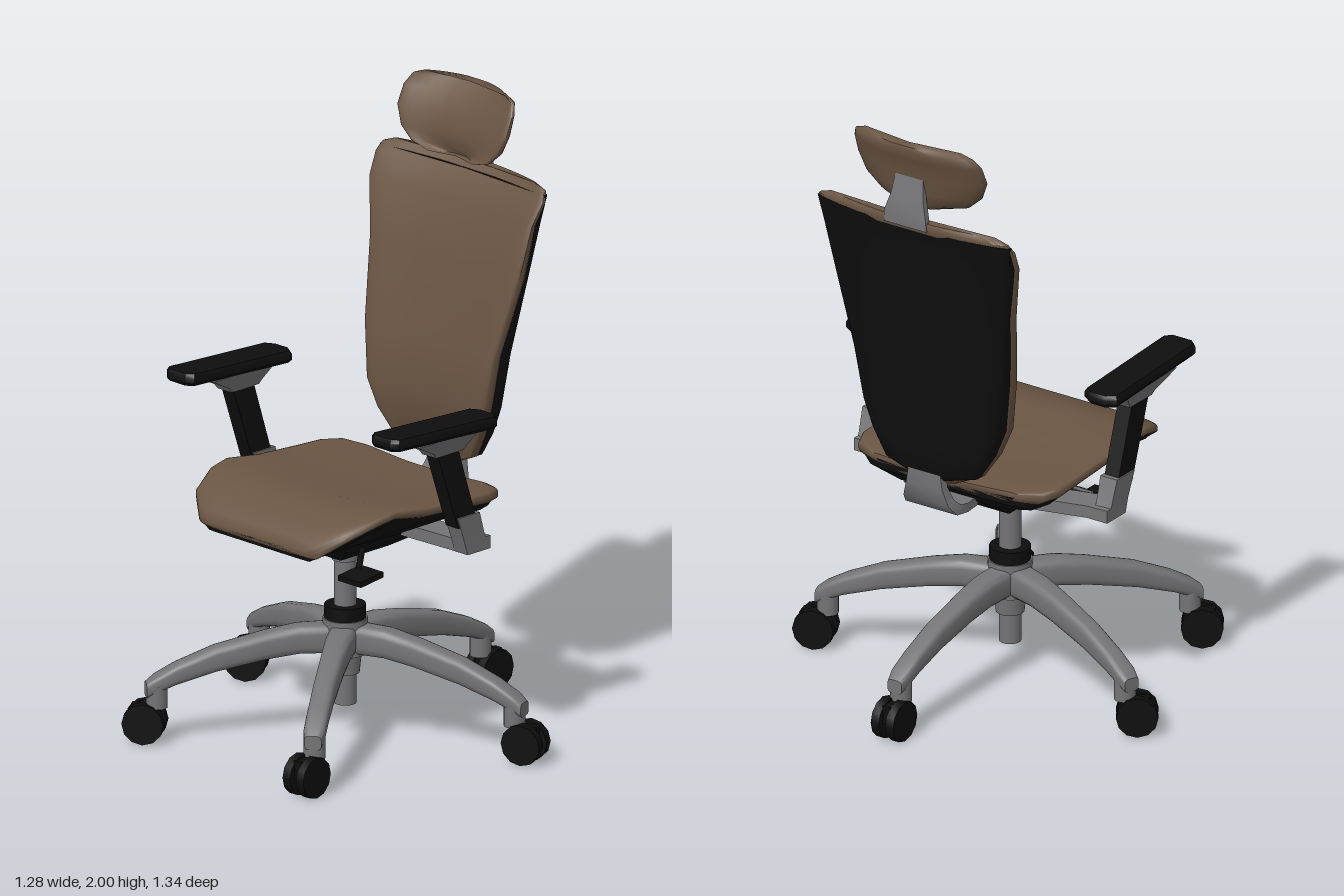
import * as THREE from 'three';
import { toCreasedNormals } from 'three/addons/utils/BufferGeometryUtils.js';

const mat = (name, color) => Object.assign(new THREE.MeshStandardMaterial({ color }), { name });

export function createModel() {
  const brown = mat('brownUpholstery', 0x6a5543);
  const black = mat('blackPlastic', 0x0e0e0e);
  const gray = mat('grayMetal', 0x747476);
  const root = new THREE.Group();
  root.name = 'officeChair';

  const add = (name, geo, material, parent = root, pos = [0, 0, 0]) => {
    const m = new THREE.Mesh(geo, material);
    m.name = name;
    m.position.set(...pos);
    parent.add(m);
    return m;
  };

  // Skin over a row of equal-length rings of [x, y, z], closed at both ends
  function loft(rings, crease = 0.8) {
    const n = rings[0].length, pos = rings.flat(2), idx = [];
    for (let r = 0; r < rings.length - 1; r++)
      for (let i = 0; i < n; i++) {
        const a = r * n + i, b = r * n + (i + 1) % n;
        idx.push(a, b, a + n, b, b + n, a + n);
      }
    for (const [ring, start, flip] of [[rings[0], 0, true], [rings.at(-1), (rings.length - 1) * n, false]]) {
      const c = pos.length / 3;
      for (let k = 0; k < 3; k++) pos.push(ring.reduce((s, p) => s + p[k], 0) / n);
      for (let i = 0; i < n; i++) {
        const a = start + i, b = start + (i + 1) % n;
        idx.push(...(flip ? [c, b, a] : [c, a, b]));
      }
    }
    // Turn the faces outward if the enclosed volume is negative
    const v = (i) => new THREE.Vector3().fromArray(pos, i * 3);
    let vol = 0;
    for (let i = 0; i < idx.length; i += 3) vol += v(idx[i]).dot(v(idx[i + 1]).cross(v(idx[i + 2])));
    if (vol < 0) idx.reverse();
    const g = new THREE.BufferGeometry();
    g.setAttribute('position', new THREE.Float32BufferAttribute(pos, 3));
    g.setIndex(idx);
    return toCreasedNormals(g, crease);
  }

  // Rounded-rectangle loop of [u, v] within -1..1
  const oval = (n, p) => Array.from({ length: n }, (_, i) => {
    const t = ((i + 0.5) / n) * Math.PI * 2;
    const f = (c) => Math.sign(c) * Math.abs(c) ** p;
    return [f(Math.cos(t)), f(Math.sin(t))];
  });
  const square = [[1, 1], [-1, 1], [-1, -1], [1, -1]];
  const cyl = (r, y0, y1, r2 = r, n = 24) => new THREE.CylinderGeometry(r2, r, y1 - y0, n).translate(0, (y0 + y1) / 2, 0);

  // Star base and gas lift
  const base = new THREE.Group();
  base.name = 'base';
  base.position.x = -0.06;
  root.add(base);
  add('hub', cyl(0.07, 0.265, 0.38), gray, base);
  add('hubLowerCollar', cyl(0.045, 0.2, 0.27, 0.052), gray, base);
  add('hubRing', cyl(0.065, 0.38, 0.423), black, base);
  add('liftShaft', cyl(0.035, 0.1, 0.62), gray, base);
  add('liftCollar', cyl(0.042, 0.57, 0.61), gray, base);

  // Leg sections: distance, top, bottom, half width
  const legRows = [[0.02, 0.365, 0.27, 0.045], [0.15, 0.363, 0.272, 0.042], [0.25, 0.345, 0.258, 0.038],
    [0.41, 0.305, 0.225, 0.035], [0.53, 0.256, 0.19, 0.034], [0.595, 0.22, 0.165, 0.034], [0.625, 0.196, 0.15, 0.027]];
  const legGeo = loft(legRows.map(([r, t, b, w]) =>
    oval(16, 0.5).map(([u, v]) => [r, (t + b) / 2 + v * (t - b) / 2, u * w])));
  const headings = [[1, 0], [0.34, 0.94], [-1, 0.08], [-0.55, -0.83], [-0.57, -0.82]];
  headings.forEach(([dx, dz], i) => {
    const a = i * Math.PI * 0.4;
    add('baseLeg', legGeo, gray, base).rotation.y = -a;
    const caster = new THREE.Group();
    caster.name = 'caster';
    caster.position.set(0.59 * Math.cos(a), 0, 0.59 * Math.sin(a));
    caster.rotation.y = Math.atan2(-dz, dx);
    base.add(caster);
    add('casterStem', cyl(0.034, 0.115, 0.19, 0.034, 16), gray, caster);
    add('casterHood', new THREE.BoxGeometry(0.09, 0.06, 0.03), black, caster, [0.035, 0.093, 0]);
    for (const s of [-1, 1]) {
      const wheel = toCreasedNormals(new THREE.CylinderGeometry(0.066, 0.066, 0.03, 12).rotateX(Math.PI / 2), 0.6);
      add('casterWheel', wheel, black, caster, [0.038, 0.066, s * 0.027]);
    }
  });

  // Seat sections: x, half width, top, underside, centre dip, pan bottom
  const seatRows = [[-0.447, 0.22, 0.735, 0.715, 0, 0.705], [-0.435, 0.265, 0.765, 0.705, 0, 0.7],
    [-0.385, 0.33, 0.81, 0.757, 0.005, 0.695], [-0.28, 0.37, 0.845, 0.8, 0.015, 0.69],
    [-0.21, 0.375, 0.858, 0.81, 0.022, 0.69], [-0.07, 0.375, 0.84, 0.785, 0.033, 0.685],
    [0.1, 0.375, 0.83, 0.773, 0.035, 0.69], [0.2, 0.375, 0.826, 0.765, 0.035, 0.7],
    [0.26, 0.35, 0.82, 0.76, 0.03, 0.715], [0.29, 0.28, 0.805, 0.77, 0.02, 0.75]];
  add('seatCushion', loft(seatRows.map(([x, w, t, b, dip]) => oval(40, 0.5).map(([u, v]) =>
    [x, (t + b) / 2 + v * (t - b) / 2 - dip * (1 - u * u), u * w])), 1), brown);
  add('seatPan', loft(seatRows.map(([x, w, , b, dip, bot]) => {
    const top = b + 0.012, mid = Math.max(b - 0.02, bot);
    const half = [[w - 0.02, top], [w - 0.045, mid], [0.19, bot]];
    return [[0, top - dip], ...half, ...half.map(([z, y]) => [-z, y]).reverse()].map(([z, y]) => [x, y, z]);
  }), 0.5), black);

  // Tilt mechanism
  const mech = [[0.6, -0.15, 0.06, 0.07], [0.65, -0.2, 0.16, 0.15], [0.71, -0.27, 0.26, 0.18]];
  add('tiltMechanism', loft(mech.map(([y, x0, x1, w]) =>
    square.map(([u, v]) => [(x0 + x1) / 2 + u * (x1 - x0) / 2, y, v * w])), 0.3), black);

  // Adjustment levers
  const rod = (a, b, r) => new THREE.TubeGeometry(new THREE.LineCurve3(new THREE.Vector3(...a), new THREE.Vector3(...b)), 1, r, 8);
  add('leverRod', rod([-0.1, 0.66, 0.12], [-0.25, 0.635, 0.25], 0.01), black);
  const paddle = add('leverPaddle', new THREE.BoxGeometry(0.1, 0.018, 0.1), black, root, [-0.27, 0.628, 0.28]);
  paddle.rotation.z = 0.12;
  add('leverRod', rod([-0.08, 0.67, -0.12], [-0.11, 0.65, -0.28], 0.01), black);
  add('leverPaddle', new THREE.BoxGeometry(0.08, 0.018, 0.1), black, root, [-0.12, 0.648, -0.3]);

  // Backrest: y, half width, cushion front, cushion back, shell back
  const backRows = [[0.812, 0.09, 0.385, 0.395, 0.4], [0.85, 0.175, 0.345, 0.395, 0.407], [0.93, 0.225, 0.318, 0.385, 0.41],
    [1.02, 0.26, 0.305, 0.378, 0.414], [1.2, 0.286, 0.322, 0.392, 0.43], [1.45, 0.328, 0.385, 0.455, 0.46],
    [1.63, 0.358, 0.42, 0.468, 0.485], [1.7, 0.368, 0.462, 0.497, 0.5], [1.73, 0.355, 0.482, 0.511, 0.502],
    [1.747, 0.31, 0.497, 0.506, 0.5]];
  const upright = (x0, x1, w, y, bend, p) => oval(32, p).map(([u, v]) =>
    [(x0 + x1) / 2 + v * (x1 - x0) / 2 - bend * u * u, y, u * w]);
  add('backCushion', loft(backRows.map(([y, w, f, b]) => upright(f, b, w, y, 0.036, 0.5)), 1), brown);
  add('backShell', loft(backRows.slice(0, 8).map(([y, w, f, b, s], i) =>
    upright((f + b) / 2, s + 0.006, w * 0.985, i ? y + 0.02 * (i === 7) : 0.825, 0.036, 0.35)), 0.8), black);

  // Headrest
  const headRows = [[1.77, 0.1, 0.445, 0.462], [1.79, 0.17, 0.432, 0.472], [1.83, 0.215, 0.427, 0.482],
    [1.89, 0.24, 0.437, 0.49], [1.95, 0.238, 0.468, 0.508], [1.985, 0.22, 0.495, 0.525], [2.0, 0.18, 0.51, 0.522]];
  add('headrest', loft(headRows.map(([y, w, f, b]) => upright(f, b, w, y, 0.052, 0.6)), 1.2), brown);

  // Flat straps: x, y, half width, with thickness along (tx, ty)
  const strap = (rows) => loft(rows.map(([x, y, w, tx, ty]) =>
    square.map(([u, v]) => [x + u * tx, y + u * ty, v * w])), 0.6);
  add('headrestSupport', strap([[0.472, 1.9, 0.05, 0.01, 0], [0.488, 1.82, 0.06, 0.01, 0],
    [0.5, 1.76, 0.078, 0.01, 0], [0.5, 1.72, 0.08, 0.008, 0]]), gray);
  add('backBracket', strap([[0.39, 0.88, 0.055, 0.015, 0], [0.39, 0.8, 0.068, 0.015, 0], [0.38, 0.75, 0.085, 0.015, -0.007],
    [0.355, 0.722, 0.098, 0.01, -0.014], [0.31, 0.715, 0.1, 0, -0.015], [0.2, 0.725, 0.1, 0, -0.015]]), gray);

  // Armrests, mirrored across z
  for (const s of [1, -1]) {
    const arm = new THREE.Group();
    arm.name = s > 0 ? 'leftArmrest' : 'rightArmrest';
    root.add(arm);
    const slab = (x0, x1, y, z0, z1) => square.map(([u, v]) =>
      [(x0 + x1) / 2 + u * (x1 - x0) / 2, y, s * ((z0 + z1) / 2 + v * (z1 - z0) / 2)]);
    const outline = [[-0.35, 0.412], [-0.33, 0.39], [0.095, 0.39], [0.115, 0.42], [0.115, 0.48], [0.095, 0.512], [-0.33, 0.512], [-0.35, 0.49]];
    const padRing = (y, k) => outline.map(([x, z]) =>
      [-0.117 + (x + 0.117) * (1 - (1 - k) / 4), y - 0.05 * (x + 0.117), s * (0.451 + (z - 0.451) * k)]);
    add('armPad', loft([padRing(1.09, 0.88), padRing(1.1, 1), padRing(1.118, 1), padRing(1.129, 0.9)], 0.6), black, arm);
    add('padBracket', loft([slab(-0.14, -0.02, 1.03, 0.42, 0.48), slab(-0.15, -0.01, 1.045, 0.415, 0.485),
      slab(-0.24, 0.03, 1.092, 0.398, 0.505)], 0.3), gray, arm);
    add('armPost', loft([slab(-0.04, 0.045, 0.775, 0.423, 0.476), slab(-0.13, -0.04, 1.04, 0.423, 0.476)], 0.3), black, arm);
    add('armUpright', loft([slab(0.0, 0.1, 0.68, 0.42, 0.478), slab(-0.015, 0.075, 0.73, 0.42, 0.478),
      slab(-0.045, 0.05, 0.81, 0.418, 0.481)], 0.3), gray, arm);
    const beam = [[0.478, 0.68, 0.722, 0.0], [0.4, 0.68, 0.72, 0.0], [0.12, 0.66, 0.7, 0.03]];
    add('armBeam', loft(beam.map(([z, b, t, x]) =>
      square.map(([u, v]) => [x + 0.05 + u * 0.05, (b + t) / 2 + v * (t - b) / 2, s * z])), 0.3), gray, arm);
  }
  return root;
}
